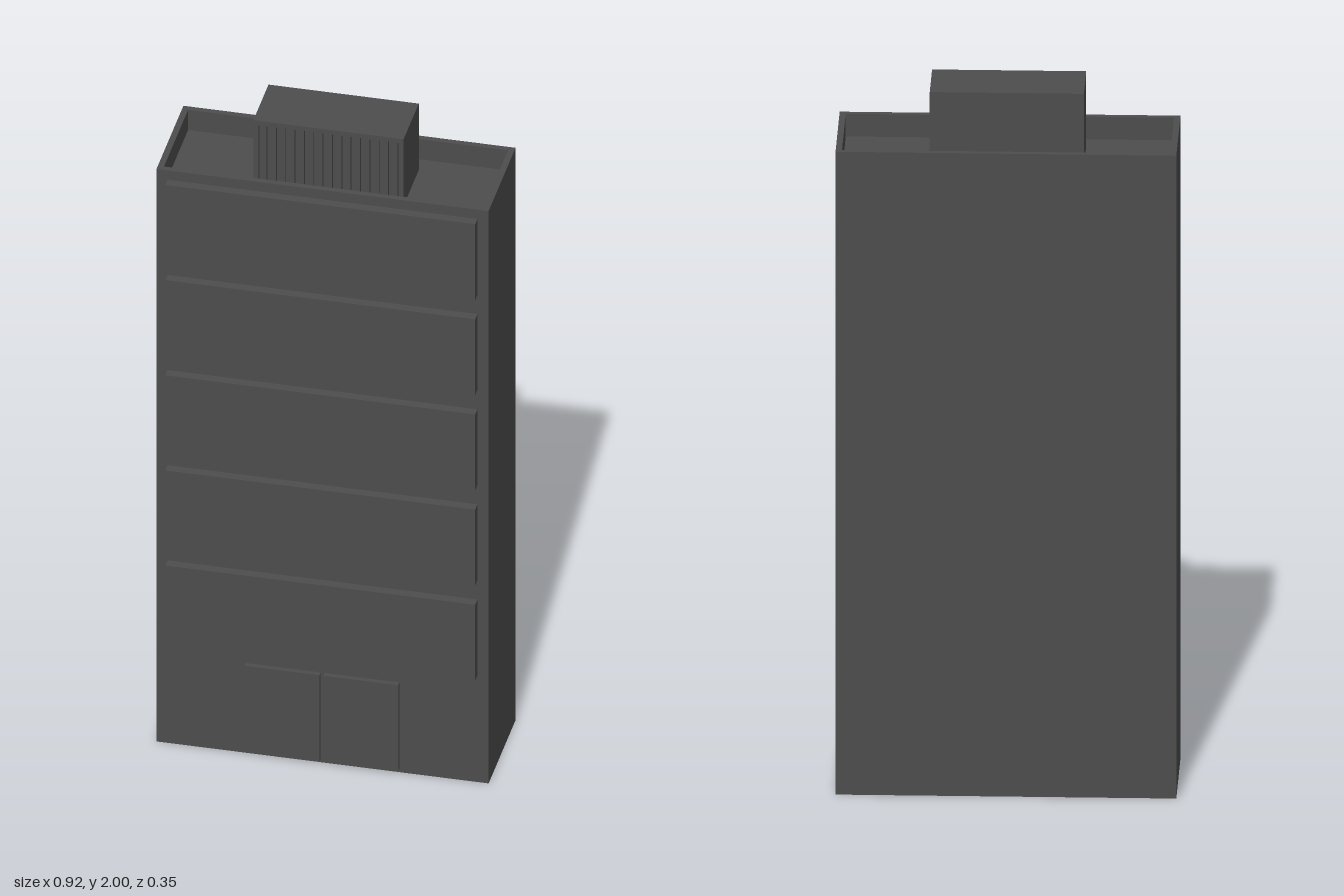
import * as THREE from 'three';

const material = new THREE.MeshStandardMaterial({ color: 0x4d4d4d });

// Box given by its lower and upper limits on each axis
function addBox(parent, name, [x0, x1], [y0, y1], [z0, z1]) {
  const mesh = new THREE.Mesh(new THREE.BoxGeometry(x1 - x0, y1 - y0, z1 - z0), material);
  mesh.name = name;
  mesh.position.set((x0 + x1) / 2, (y0 + y1) / 2, (z0 + z1) / 2);
  parent.add(mesh);
  return mesh;
}

// Rectangular ring in the XY plane, extruded along +z
function ringGeometry([x0, x1], [y0, y1], border, depth) {
  const rect = (P, b) => {
    const p = new P();
    p.moveTo(x0 + b, y0 + b);
    p.lineTo(x1 - b, y0 + b);
    p.lineTo(x1 - b, y1 - b);
    p.lineTo(x0 + b, y1 - b);
    p.closePath();
    return p;
  };
  const shape = rect(THREE.Shape, 0);
  shape.holes.push(rect(THREE.Path, border));
  return new THREE.ExtrudeGeometry(shape, { depth, bevelEnabled: false });
}

export function createModel() {
  const building = new THREE.Group();
  building.name = 'building';

  const halfWidth = 0.462, back = -0.175, front = 0.148;
  const roofY = 1.785, parapetY = 1.85;

  // Main block with a raised parapet around the sunken roof
  addBox(building, 'mainBlock', [-halfWidth, halfWidth], [0, roofY], [back, front]);
  const parapet = new THREE.Mesh(
    ringGeometry([-halfWidth, halfWidth], [-front, -back], 0.017, parapetY - roofY), material);
  parapet.name = 'parapet';
  parapet.rotation.x = -Math.PI / 2;
  parapet.position.y = roofY;
  building.add(parapet);

  // One projecting window band per upper floor
  const bands = new THREE.Group();
  bands.name = 'windowBands';
  for (let i = 0; i < 5; i++) {
    const y = 0.345 + i * 0.3075;
    addBox(bands, 'windowBand', [-0.431, 0.431], [y, y + 0.245], [front, 0.175]);
  }
  building.add(bands);

  // Double entrance doors
  addBox(building, 'rightDoor', [-0.214, -0.005], [0.012, 0.29], [front, 0.162]);
  addBox(building, 'leftDoor', [0.005, 0.214], [0.012, 0.29], [front, 0.162]);

  // Rooftop plant room: outer frame, recessed core and front louvres
  const plant = new THREE.Group();
  plant.name = 'plantRoom';
  const pw = 0.209, pBack = -0.105, pFront = 0.077, border = 0.014, recess = 0.015;
  const frame = new THREE.Mesh(ringGeometry([-pw, pw], [roofY, 2], border, pFront - pBack), material);
  frame.name = 'plantRoomFrame';
  frame.position.z = pBack;
  plant.add(frame);
  addBox(plant, 'plantRoomCore', [-pw + border, pw - border], [roofY + border, 2 - border],
    [pBack + recess, pFront - recess]);
  const slats = 15, pitch = 2 * (pw - border) / slats;
  for (let i = 0; i < slats; i++) {
    const x = -pw + border + (i + 0.5) * pitch;
    addBox(plant, 'louvreSlat', [x - 0.009, x + 0.009], [roofY + border, 2 - border],
      [pFront - recess, pFront - 0.004]);
  }
  building.add(plant);

  return building;
}
